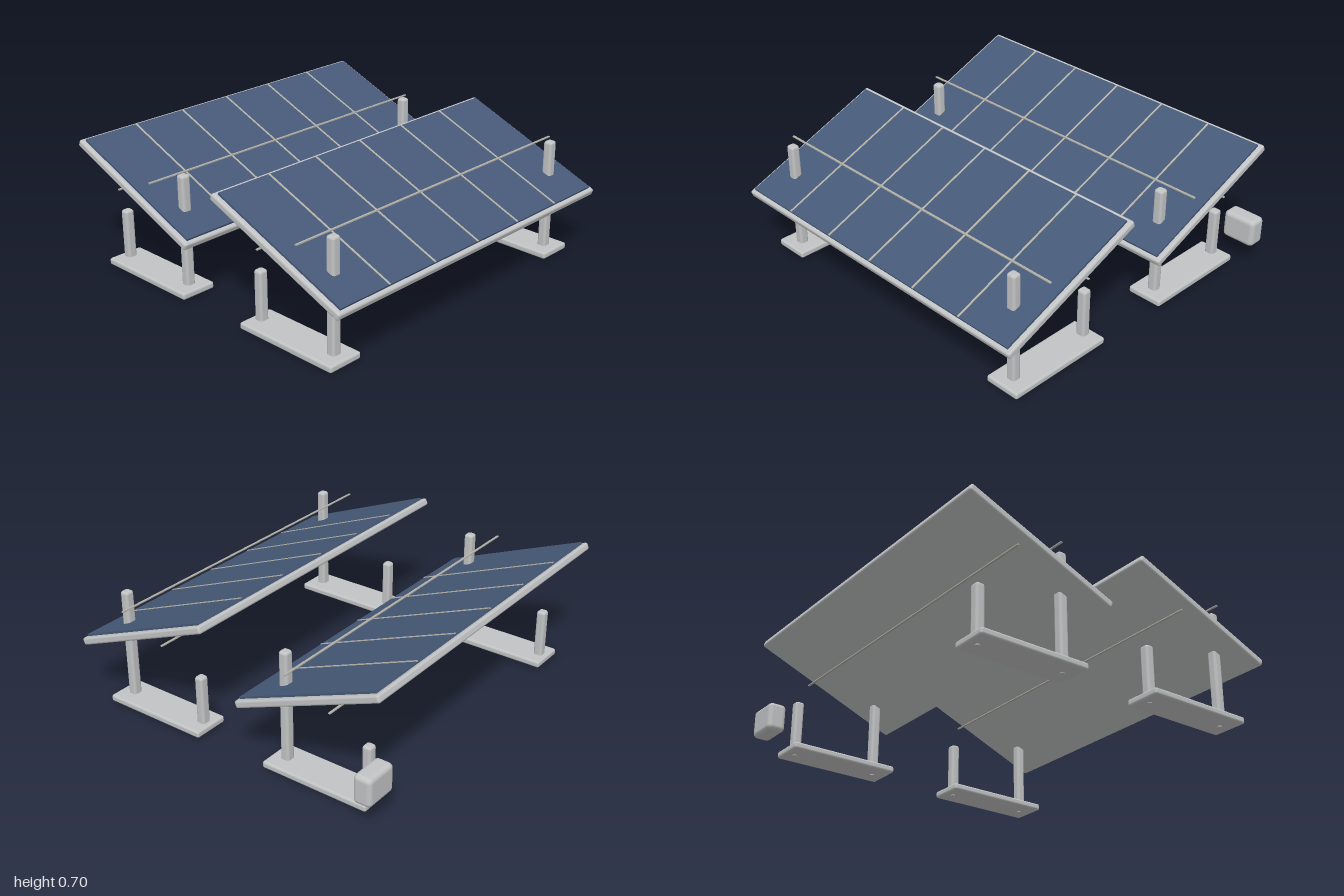
import * as THREE from 'three';
import { RoundedBoxGeometry } from 'three/addons/geometries/RoundedBoxGeometry.js';

export function createModel() {
  const mat = (name, color) => {
    const m = new THREE.MeshStandardMaterial({ color });
    m.name = name;
    return m;
  };
  const metal = mat('light grey metal', 0xc2c3c4);
  const blue = mat('cell blue', 0x465977);
  const silver = mat('grid line silver', 0xb5b2a9);

  const model = new THREE.Group();
  model.name = 'solarArray';

  const add = (parent, name, geometry, material, x, y, z) => {
    const mesh = new THREE.Mesh(geometry, material);
    mesh.name = name;
    mesh.position.set(x, y, z);
    parent.add(mesh);
    return mesh;
  };
  const rounded = (w, h, d, r) => new RoundedBoxGeometry(w, h, d, 3, r);

  // One row: tilted panel, two busbars and two stands, centred on its own origin
  function makeRow(name, z) {
    const row = new THREE.Group();
    row.name = name;
    row.position.set(-0.025, 0, z);

    // Tilted panel with its cell sheet and dividers
    const panel = new THREE.Group();
    panel.name = 'panel';
    panel.position.set(0, 0.514, 0);
    panel.rotation.x = THREE.MathUtils.degToRad(22);
    add(panel, 'frame', rounded(1.95, 0.04, 0.885, 0.012), metal, 0, 0, 0);
    add(panel, 'cellSheet', new THREE.BoxGeometry(1.9, 0.016, 0.84), blue, 0, 0.023, 0);
    for (let i = -2; i <= 2; i++) {
      add(panel, 'cellDivider', new THREE.BoxGeometry(0.01, 0.006, 0.84), silver, i * 0.316, 0.031, 0);
    }
    row.add(panel);

    // Level busbars, one above and one below the panel
    for (const [y, bz] of [[0.598, 0.127], [0.492, -0.128]]) {
      add(row, 'busbar', new THREE.BoxGeometry(1.9, 0.006, 0.011), silver, 0, y, bz);
    }

    // Stands: foot, tall front leg, short rear leg and bolt ends
    for (const side of [-1, 1]) {
      const stand = new THREE.Group();
      stand.name = side < 0 ? 'rightStand' : 'leftStand';
      stand.position.x = side * 0.815;
      add(stand, 'foot', rounded(0.2, 0.037, 0.61, 0.012), metal, 0, 0.0225, 0);
      add(stand, 'frontLeg', rounded(0.053, 0.615, 0.05, 0.015), metal, 0, 0.3275, 0.226);
      add(stand, 'rearLeg', rounded(0.053, 0.285, 0.05, 0.015), metal, 0, 0.1625, -0.253);
      for (const bz of [0.226, -0.253]) {
        add(stand, 'boltEnd', new THREE.CylinderGeometry(0.011, 0.011, 0.008, 12), metal, 0, 0.004, bz);
      }
      row.add(stand);
    }
    model.add(row);
  }

  makeRow('frontRow', 0.513);
  makeRow('rearRow', -0.51);

  // Inverter behind the rear row
  add(model, 'inverterBox', rounded(0.19, 0.155, 0.1, 0.025), metal, 0.905, 0.207, -0.868);

  return model;
}
